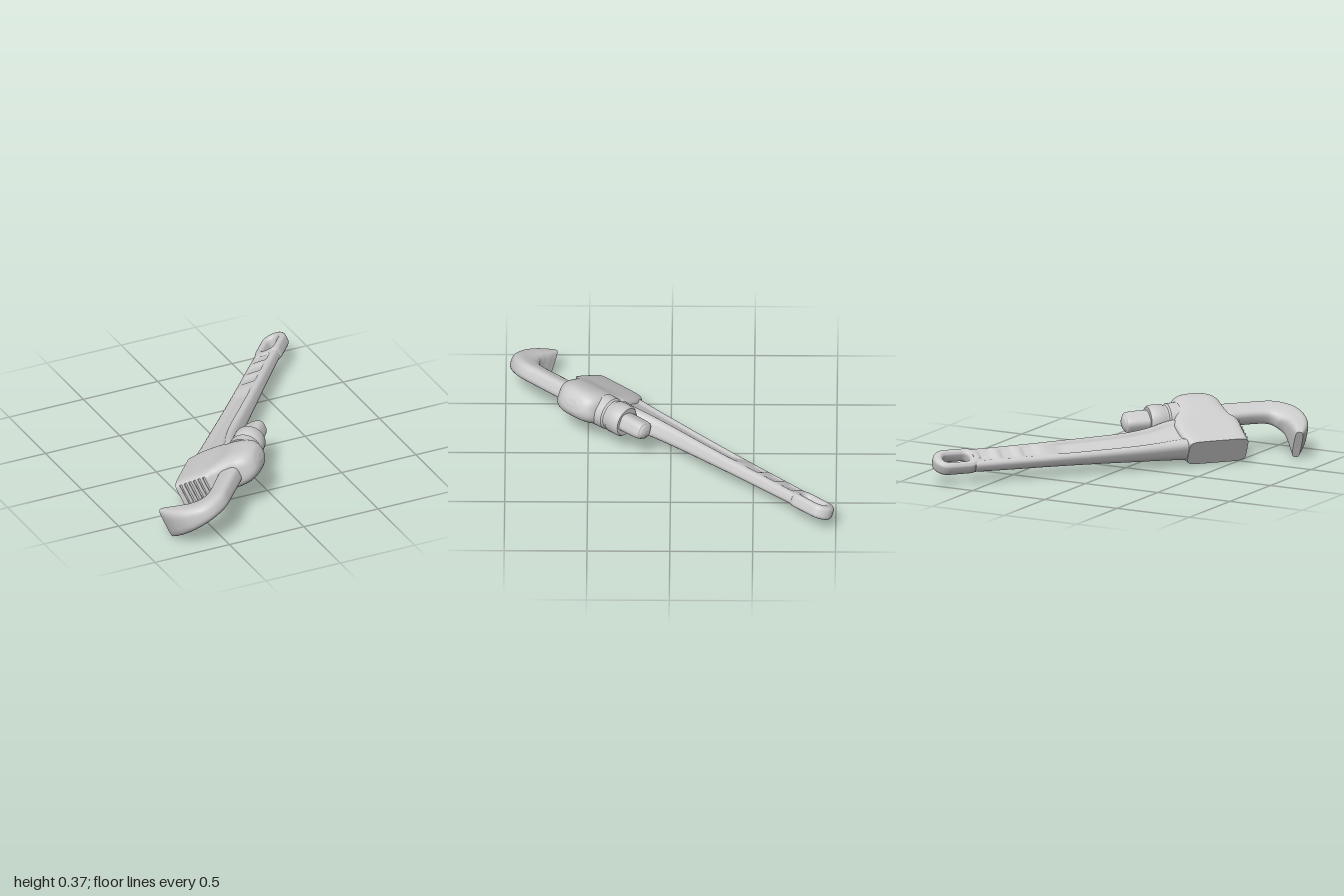
import * as THREE from 'three';
import { toCreasedNormals } from 'three/addons/utils/BufferGeometryUtils.js';

const material = new THREE.MeshStandardMaterial({ color: 0xcccccc });

// Local frame: X runs toward the jaws, Y across the tool, Z through its thickness.
// Each section is [x, y, half size across the path, half thickness, squareness].
function loft(sections, steps, { normal = null, warp = null, sides = 40 } = {}) {
  const spline = f => new THREE.CatmullRomCurve3(sections.map(f), false, 'catmullrom', 0.5);
  const path = spline(s => new THREE.Vector3(s[0], s[1], 0));
  const size = spline(s => new THREE.Vector3(s[2], s[3], s[4]));
  const pos = [], index = [];
  const power = (c, e) => Math.sign(c) * Math.abs(c) ** (2 / e);
  for (let i = 0; i <= steps; i++) {
    const p = path.getPoint(i / steps), s = size.getPoint(i / steps);
    const t = path.getTangent(i / steps);
    const [nx, ny] = normal || [-t.y, t.x];
    for (let j = 0; j < sides; j++) {
      const a = j / sides * Math.PI * 2;
      const across = power(Math.cos(a), s.z);
      let z = s.y * power(Math.sin(a), s.z);
      if (warp) z = warp(z, across, p.x);
      pos.push(p.x + nx * s.x * across, p.y + ny * s.x * across, z);
    }
  }
  for (let i = 0; i < steps; i++) {
    for (let j = 0; j < sides; j++) {
      const a = i * sides + j, b = i * sides + (j + 1) % sides;
      index.push(a, b, a + sides, b, b + sides, a + sides);
    }
  }
  // End caps keep their own vertices so that their rims stay sharp
  for (const end of [0, 1]) {
    const first = pos.length / 3, ring = end * steps * sides;
    pos.push(...pos.slice(ring * 3, (ring + sides) * 3));
    const c = path.getPoint(end);
    pos.push(c.x, c.y, 0);
    for (let j = 0; j < sides; j++) {
      const a = first + j, b = first + (j + 1) % sides;
      index.push(first + sides, end ? a : b, end ? b : a);
    }
  }
  const g = new THREE.BufferGeometry();
  g.setAttribute('position', new THREE.Float32BufferAttribute(pos, 3));
  g.setIndex(index);
  g.computeVertexNormals();
  return g;
}

// Slot outline with round ends
function slot(path, x0, x1, y, r) {
  path.absarc(x0 + r, y, r, Math.PI / 2, Math.PI * 1.5, false);
  path.absarc(x1 - r, y, r, -Math.PI / 2, Math.PI / 2, false);
  path.closePath();
  return path;
}

export function createModel() {
  const wrench = new THREE.Group();
  wrench.name = 'pipeWrench';
  const add = (name, geometry) => {
    const mesh = new THREE.Mesh(geometry, material);
    mesh.name = name;
    wrench.add(mesh);
    return mesh;
  };
  const smooth = THREE.MathUtils.smoothstep;

  // Handle with a long recessed panel and three dimples on both faces
  const recess = (z, across, x) => {
    let depth = 0.022 * smooth(x, -0.56, -0.42) * (1 - smooth(x, 0.34, 0.42));
    for (const d of [-0.92, -0.78, -0.64]) {
      depth += 0.013 * (1 - smooth(Math.abs(x - d), 0.025, 0.065));
    }
    const inside = 1 - smooth(Math.abs(across), 0.4, 0.68);
    return z - Math.sign(z) * Math.min(Math.abs(z), depth * inside);
  };
  add('handle', loft([
    [-1.0, -0.04, 0.080, 0.042, 3.2],
    [-0.8, -0.04, 0.082, 0.044, 3.4],
    [-0.6, -0.038, 0.085, 0.046, 3.4],
    [-0.4, -0.036, 0.088, 0.05, 3.4],
    [-0.2, -0.035, 0.091, 0.055, 3.4],
    [0.0, -0.033, 0.096, 0.062, 3.4],
    [0.15, -0.022, 0.108, 0.069, 3.4],
    [0.3, 0.0, 0.131, 0.078, 3.6],
    [0.45, 0.0, 0.132, 0.086, 4],
  ], 150, { normal: [0, 1], warp: recess, sides: 56 }));

  // Hanging eye at the tail
  const eye = slot(new THREE.Shape(), -1.25, -0.95, -0.038, 0.083);
  eye.holes.push(slot(new THREE.Path(), -1.19, -1.02, -0.038, 0.037));
  const eyeGeometry = new THREE.ExtrudeGeometry(eye, {
    depth: 0.034, bevelThickness: 0.025, bevelSize: 0.024, bevelOffset: -0.024,
    bevelSegments: 5, curveSegments: 20,
  });
  eyeGeometry.translate(0, 0, -0.017);
  add('hangingEye', toCreasedNormals(eyeGeometry, 0.8));

  // Head: fixed jaw below, domed housing above; rows are [y, back, front, half thickness, squareness]
  const headRows = [
    [-0.135, 0.36, 0.735, 0.086, 7],
    [-0.05, 0.33, 0.73, 0.09, 7],
    [0.07, 0.32, 0.73, 0.092, 6],
    [0.12, 0.335, 0.70, 0.096, 5],
    [0.20, 0.355, 0.68, 0.105, 4],
    [0.27, 0.365, 0.675, 0.10, 3.5],
    [0.32, 0.385, 0.65, 0.085, 3],
    [0.35, 0.42, 0.61, 0.058, 2.5],
    [0.362, 0.47, 0.56, 0.02, 2],
  ];
  add('head', loft(
    headRows.map(([y, b, f, w, e]) => [(b + f) / 2, y, (f - b) / 2, w, e]),
    56, { normal: [-1, 0], sides: 56 }));

  // Shallow teeth on the fixed jaw
  for (let i = 0; i < 6; i++) {
    const tooth = add('jawTooth', new THREE.BoxGeometry(0.012, 0.012, 0.14));
    tooth.position.set(0.729, -0.1 + i * 0.032, 0);
    tooth.rotation.z = Math.PI / 4;
  }

  // Hook jaw: shank, bend and a tip that widens while it thins
  add('hookJaw', loft([
    [0.037, 0.197, 0.02, 0.015, 2.2],
    [0.052, 0.197, 0.05, 0.042, 2.5],
    [0.10, 0.197, 0.067, 0.055, 3],
    [0.40, 0.197, 0.067, 0.055, 3.2],
    [0.70, 0.197, 0.067, 0.055, 3.2],
    [0.90, 0.197, 0.067, 0.055, 3],
    [1.00, 0.183, 0.078, 0.057, 2.8],
    [1.07, 0.13, 0.09, 0.063, 2.8],
    [1.10, 0.06, 0.076, 0.074, 3],
    [1.097, -0.01, 0.062, 0.085, 3.2],
    [1.08, -0.075, 0.045, 0.092, 3.5],
    [1.06, -0.13, 0.024, 0.096, 4],
  ], 120));

  // Adjusting nut around the shank, with a collar at its front
  const nutProfile = [[0.06, 0.2], [0.088, 0.2], [0.098, 0.212], [0.098, 0.29],
    [0.09, 0.3], [0.09, 0.315], [0.1, 0.325], [0.102, 0.39], [0.06, 0.39]];
  const nut = new THREE.LatheGeometry(nutProfile.map(p => new THREE.Vector2(...p)), 40);
  nut.rotateZ(-Math.PI / 2);
  nut.translate(0, 0.197, 0);
  add('adjustingNut', toCreasedNormals(nut, 0.7));

  // Lay the tool diagonally, tipped about its long axis
  const tilt = THREE.MathUtils.degToRad(27), c = Math.cos(tilt), s = Math.sin(tilt);
  const along = new THREE.Vector3(-0.655, 0, 0.755).normalize();
  const across = new THREE.Vector3(0.755 * c, s, 0.655 * c).normalize();
  const up = new THREE.Vector3().crossVectors(along, across);
  wrench.quaternion.setFromRotationMatrix(new THREE.Matrix4().makeBasis(along, across, up));
  wrench.position.y = 0.155;

  const model = new THREE.Group();
  model.add(wrench);
  return model;
}
